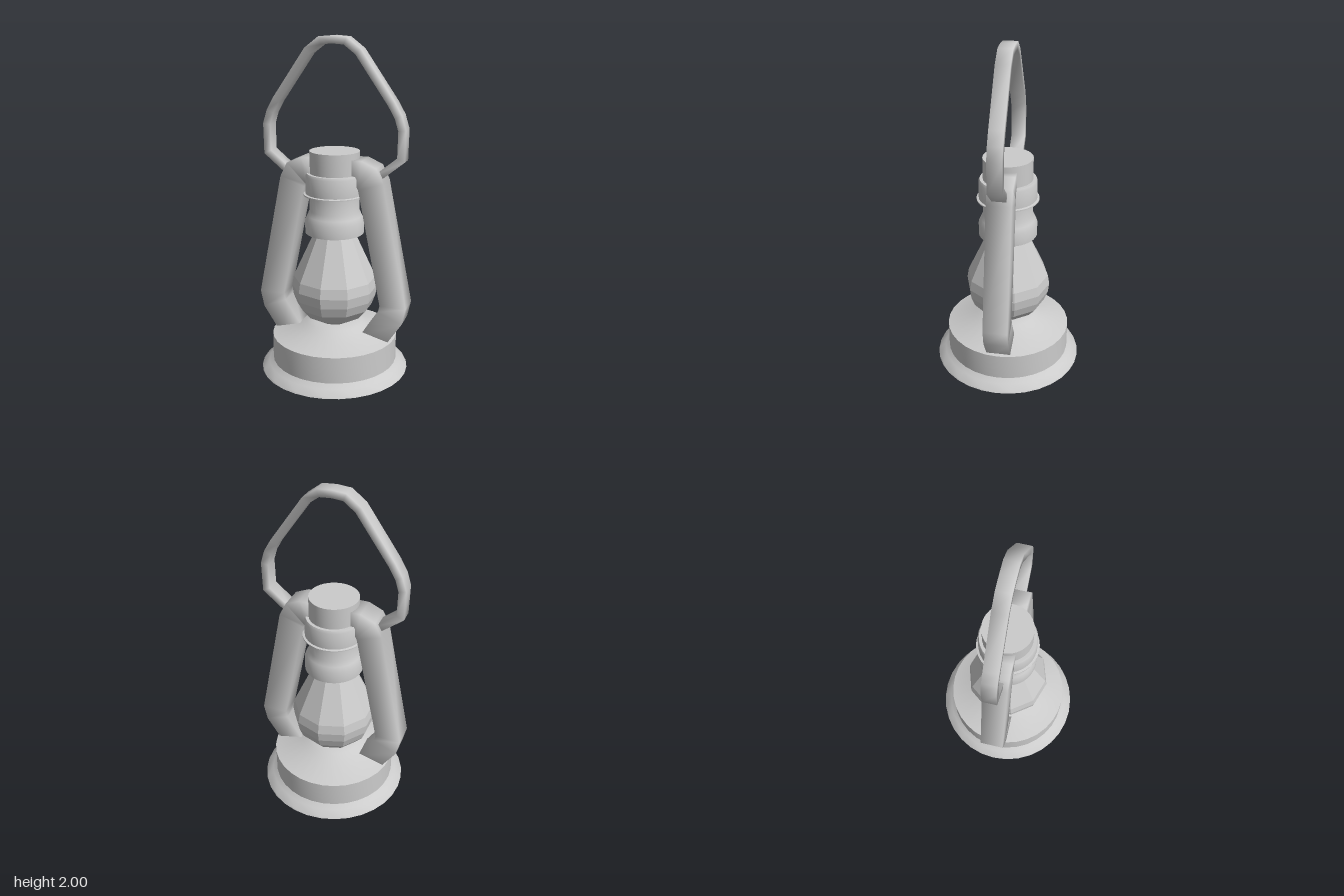
import * as THREE from 'three';
import { toCreasedNormals } from 'three/addons/utils/BufferGeometryUtils.js';

const grey = new THREE.MeshStandardMaterial({ color: 0xcccccc });
const greyFlat = new THREE.MeshStandardMaterial({ color: 0xcccccc, flatShading: true });

// Turned part from [radius, height] points, bottom to top
function turned(name, profile, sides, crease = 0.7) {
  const lathe = new THREE.LatheGeometry(profile.map(([r, y]) => new THREE.Vector2(r, y)), sides);
  const mesh = new THREE.Mesh(crease ? toCreasedNormals(lathe, crease) : lathe, crease ? grey : greyFlat);
  mesh.name = name;
  return mesh;
}

// Square-section bar along a planar [x, y] path with mitred corners and soft shading
function bar(name, path, halfWidth, halfDepth) {
  const pts = path.map(([x, y]) => new THREE.Vector2(x, y));
  const dir = (i) => pts[i + 1].clone().sub(pts[i]).normalize();
  const last = pts.length - 1;
  const positions = [], index = [];
  pts.forEach((p, i) => {
    const before = dir(Math.max(i - 1, 0)), after = dir(Math.min(i, last - 1));
    const along = before.clone().add(after).normalize();
    const w = halfWidth / along.dot(after);
    const nx = -along.y * w, ny = along.x * w;
    for (const [s, t] of [[1, -1], [1, 1], [-1, 1], [-1, -1]]) {
      positions.push(p.x + nx * s, p.y + ny * s, halfDepth * t);
    }
    if (i === last) return;
    for (let j = 0; j < 4; j++) {
      const a = i * 4 + j, b = i * 4 + (j + 1) % 4;
      index.push(a, b, b + 4, a, b + 4, a + 4);
    }
  });
  const e = last * 4;
  index.push(0, 3, 2, 0, 2, 1, e, e + 1, e + 2, e, e + 2, e + 3);
  const geo = new THREE.BufferGeometry();
  geo.setAttribute('position', new THREE.Float32BufferAttribute(positions, 3));
  geo.setIndex(index);
  geo.computeVertexNormals();
  const mesh = new THREE.Mesh(geo, grey);
  mesh.name = name;
  return mesh;
}

export function createModel() {
  const lantern = new THREE.Group();
  lantern.name = 'lantern';

  // Fuel tank with flared foot and domed top
  lantern.add(turned('fuelTank', [
    [0, 0], [0.45, 0], [0.445, 0.01], [0.405, 0.035], [0.38, 0.06],
    [0.38, 0.22], [0.2, 0.27], [0.17, 0.29], [0.12, 0.305], [0, 0.305],
  ], 32));

  // Faceted glass globe
  lantern.add(turned('globe', [
    [0, 0.3], [0.11, 0.305], [0.18, 0.345], [0.227, 0.4], [0.25, 0.46],
    [0.258, 0.52], [0.248, 0.58], [0.115, 0.87], [0, 0.87],
  ], 10, 0));

  // Waisted collar above the globe
  lantern.add(turned('collar', [
    [0, 0.86], [0.175, 0.86], [0.175, 0.935], [0.162, 0.965],
    [0.148, 0.995], [0.148, 1.1], [0, 1.1],
  ], 32));

  // Stepped chimney cap with a thin lower lip
  lantern.add(turned('chimneyCap', [
    [0, 1.09], [0.185, 1.09], [0.185, 1.097], [0.172, 1.1], [0.172, 1.205],
    [0.165, 1.22], [0.147, 1.22], [0.147, 1.35], [0, 1.35],
  ], 32));

  // Side tubes from cap to tank
  const tubePath = [
    [0.08, 1.235], [0.17, 1.235], [0.215, 1.215], [0.24, 1.165],
    [0.383, 0.45], [0.368, 0.38], [0.25, 0.2],
  ];
  ['leftTube', 'rightTube'].forEach((name, i) => {
    const tube = bar(name, tubePath, 0.077, 0.072);
    tube.rotation.y = i * Math.PI;
    lantern.add(tube);
  });

  // Carrying handle: half the arch, mirrored
  const half = [
    [0.27, 1.215], [0.405, 1.325], [0.408, 1.49], [0.385, 1.565],
    [0.345, 1.635], [0.15, 1.915], [0.075, 1.972],
  ];
  const arch = [...half, [0, 1.978], ...half.map(([x, y]) => [-x, y]).reverse()];
  lantern.add(bar('handle', arch, 0.022, 0.042));

  return lantern;
}
